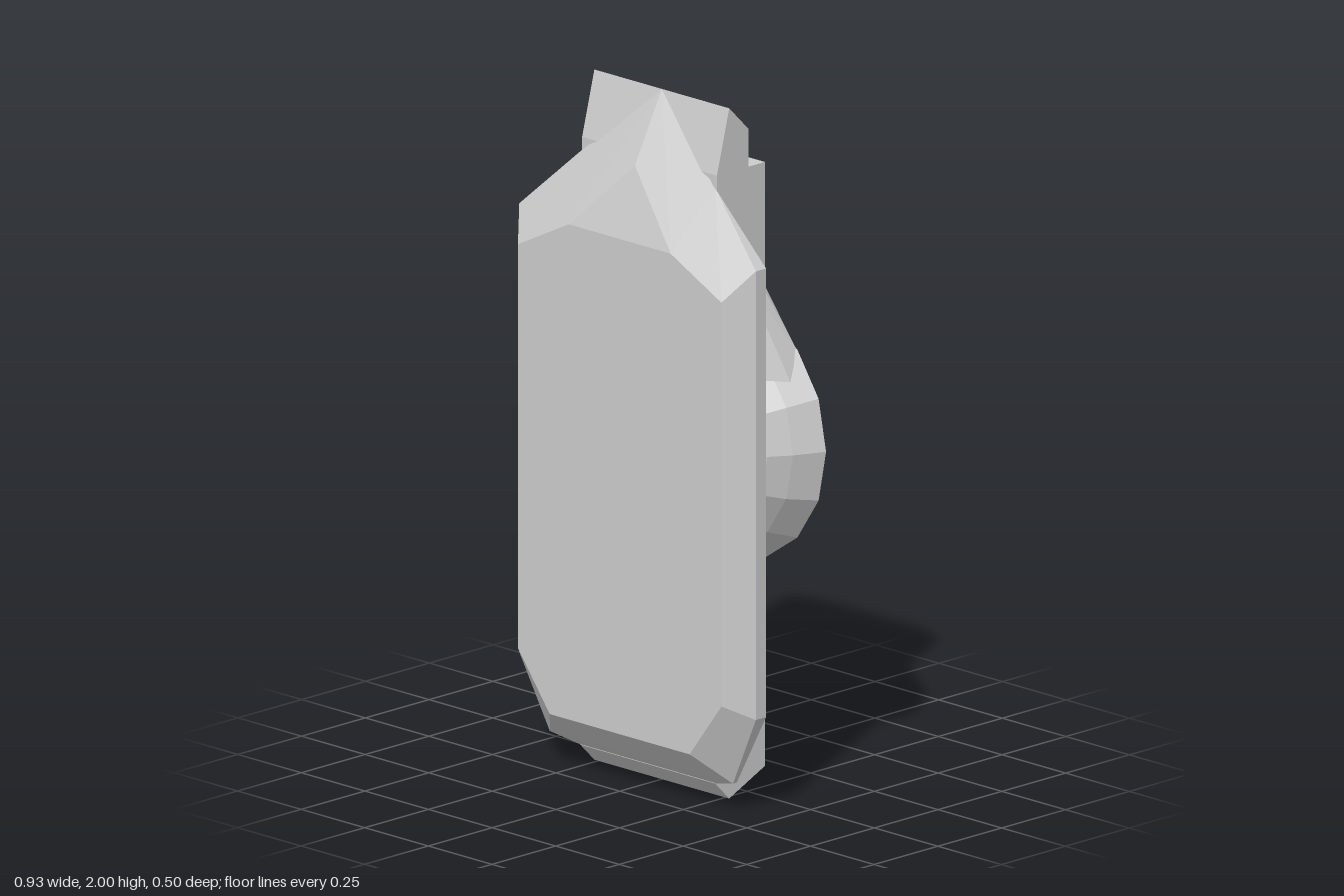
import * as THREE from 'three';
import { ConvexGeometry } from 'three/addons/geometries/ConvexGeometry.js';

const material = new THREE.MeshStandardMaterial({ color: 0xcccccc, flatShading: true });

function addMesh(group, name, geometry) {
  const mesh = new THREE.Mesh(geometry, material);
  mesh.name = name;
  group.add(mesh);
  return mesh;
}

// Faceted solid around a list of [x, y, z] corners
const solid = (corners) => new ConvexGeometry(corners.map((c) => new THREE.Vector3(...c)));

// Same, with the corners mirrored across x = 0
const mirrored = (corners) =>
  solid(corners.flatMap(([x, y, z]) => (x === 0 ? [[x, y, z]] : [[x, y, z], [-x, y, z]])));

// Side profile of [z, y] points, stretched from x0 to x1
const prism = (profile, x0, x1) =>
  solid(profile.flatMap(([z, y]) => [[x0, y, z], [x1, y, z]]));

export function createModel() {
  const model = new THREE.Group();
  model.name = 'panelUnit';

  // Core slab, with a cap whose rear corners are cut away
  addMesh(model, 'core', prism(
    [[0.085, 0], [0.14, 0.055], [0.133, 1.815], [-0.055, 1.815], [-0.055, 0.065]], -0.265, 0.265));
  addMesh(model, 'coreCap', mirrored([
    [0.265, 1.815, 0.133], [0.265, 2, 0.085],
    [0.265, 1.815, 0.01], [0.265, 1.925, 0.01],
    [0.18, 1.815, -0.055], [0.18, 1.865, -0.055],
  ]));

  // Bevelled front plate
  addMesh(model, 'frontPlate', mirrored([
    [0.2, 1.6, 0.25], [0.4, 1.5, 0.25], [0.4, 0.33, 0.25], [0.275, 0.165, 0.25],
    [0.465, 1.59, 0.18], [0.465, 0.29, 0.18], [0.36, 0.08, 0.165],
    [0.465, 1.59, 0.14], [0.465, 0.29, 0.14], [0.36, 0.08, 0.15],
    [0.265, 1.775, 0.136], [0.265, 0.055, 0.138],
  ]));

  // Peaked top of the plate, rising to the ridge of the core
  addMesh(model, 'frontPeak', mirrored([
    [0, 2, 0.085], [0, 1.8, 0.19], [0.265, 1.775, 0.139],
    [0.2, 1.6, 0.25], [0.4, 1.5, 0.25], [0.465, 1.59, 0.18],
  ]));

  // Rear dish with a thin raised plate on its flat face
  const back = new THREE.Group();
  back.name = 'rearAssembly';
  model.add(back);
  const dishProfile = [[0, 0], [0.25, 0], [0.305, 0.025], [0.345, 0.085], [0.385, 0.175], [0, 0.175]]
    .map(([r, d]) => new THREE.Vector2(r, d));
  const dish = addMesh(back, 'dish', new THREE.LatheGeometry(dishProfile, 16).rotateX(-Math.PI / 2));
  dish.position.y = 0.975;
  const plate = addMesh(back, 'dishPlate',
    new THREE.CylinderGeometry(0.31, 0.31, 0.008, 8).rotateX(-Math.PI / 2));
  plate.position.set(0, 0.975, -0.175);

  // Rounded strip on top of the dish, held between two flared cheeks
  addMesh(back, 'topStrip', prism([
    [-0.05, 1.2], [-0.055, 1.43], [-0.085, 1.445], [-0.105, 1.445],
    [-0.14, 1.425], [-0.16, 1.39], [-0.172, 1.33], [-0.172, 1.2],
  ], -0.13, 0.16));
  for (const [name, x, s] of [['leftCheek', 0.16, 1], ['rightCheek', -0.13, -1]]) {
    addMesh(back, name, solid([
      [x, 1.2, -0.05], [x, 1.45, -0.055], [x, 1.46, -0.085], [x, 1.445, -0.14],
      [x, 1.37, -0.175], [x, 1.2, -0.175],
      [x + s * 0.03, 1.43, -0.07], [x + s * 0.03, 1.41, -0.13],
      [s * 0.27, 1.245, -0.175], [s * 0.3, 1.17, -0.12], [s * 0.25, 1.18, -0.05],
    ]));
  }

  // Grip bar and its round stub
  addMesh(back, 'gripBar', solid([
    ...[-0.13, 0.16].flatMap((x) => [[x, 1.04, -0.175], [x, 1.04, -0.24], [x, 1.055, -0.245]]),
    ...[-0.115, 0.15].flatMap((x) => [[x, 1.04, -0.25], [x, 1.1, -0.222], [x, 1.11, -0.175]]),
  ]));
  const stub = addMesh(back, 'gripStub', new THREE.CylinderGeometry(0.042, 0.06, 0.08, 12));
  stub.position.set(0, 1.105, -0.175);

  return model;
}
